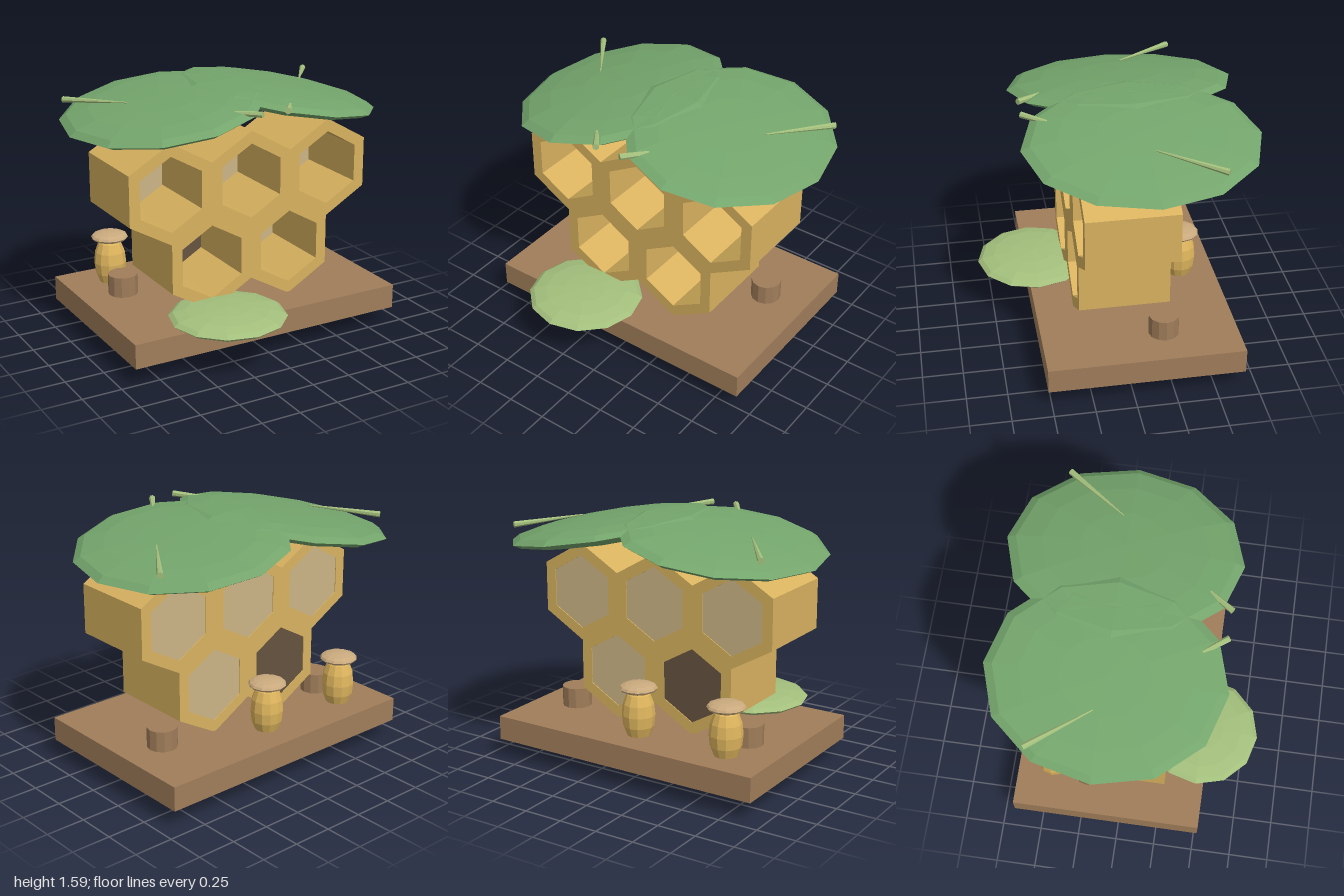
import * as THREE from 'three';

const mat = (color) => new THREE.MeshStandardMaterial({ color, flatShading: true });
const WOOD = mat(0xa07d5a), COMB = mat(0xd8b25f), WAX = mat(0xcbb586), DARK = mat(0x665340);
const LEAF = mat(0x74a56c), PALE = mat(0xa3bf7c), POT = mat(0xdfb65e), CAP = mat(0xcaaa7e);

const R = 0.315, INNER = 0.235, W = R * Math.sqrt(3) / 2, DEPTH = 0.56;
const TOP = 1.05, LOW = TOP - 1.5 * R;

export function createModel() {
  const model = new THREE.Group();
  const add = (name, geometry, material, x = 0, y = 0, z = 0) => {
    const mesh = new THREE.Mesh(geometry, material);
    mesh.name = name;
    mesh.position.set(x, y, z);
    model.add(mesh);
    return mesh;
  };
  // Flattened low-poly sphere, used for leaves, pots and lids
  const blob = (name, material, rx, ry, rz, x, y, z, sides = 12) =>
    add(name, new THREE.SphereGeometry(1, sides, 8).scale(rx, ry, rz), material, x, y, z);
  // Tapered stem from its thick end to its tip
  const stem = (name, from, to) => {
    const a = new THREE.Vector3(...from), b = new THREE.Vector3(...to);
    const dir = b.clone().sub(a);
    const mid = a.clone().add(b).multiplyScalar(0.5);
    const mesh = add(name, new THREE.CylinderGeometry(0.004, 0.02, dir.length(), 7), PALE, mid.x, mid.y, mid.z);
    mesh.quaternion.setFromUnitVectors(new THREE.Vector3(0, 1, 0), dir.normalize());
  };

  // Plank and its two pegs
  add('basePlank', new THREE.BoxGeometry(1.83, 0.155, 1.2), WOOD, 0, 0.1925, -0.08);
  for (const s of [-1, 1]) {
    add(s > 0 ? 'leftPeg' : 'rightPeg', new THREE.CylinderGeometry(0.094, 0.094, 0.4, 12), WOOD, s * 0.64, 0.2, -0.225);
  }

  // Honeycomb outline: zigzag top, stepped sides, zigzag bottom
  const outline = [];
  for (let i = -3; i <= 3; i++) outline.push(new THREE.Vector2(i * W, TOP + (i % 2 ? R / 2 : R)));
  outline.push(new THREE.Vector2(3 * W, TOP - R / 2), new THREE.Vector2(2 * W, TOP - R));
  for (let i = 2; i >= -2; i--) outline.push(new THREE.Vector2(i * W, LOW - (i % 2 ? R : R / 2)));
  outline.push(new THREE.Vector2(-2 * W, TOP - R), new THREE.Vector2(-3 * W, TOP - R / 2));
  const comb = new THREE.Shape(outline);

  // Hexagonal cells, each closed by a plate at the back
  const cells = [[-2 * W, TOP], [0, TOP], [2 * W, TOP], [-W, LOW], [W, LOW]];
  cells.forEach(([x, y], i) => {
    const hole = [];
    for (let k = 0; k < 6; k++) {
      const a = Math.PI / 6 + k * Math.PI / 3;
      hole.push(new THREE.Vector2(x + INNER * Math.cos(a), y + INNER * Math.sin(a)));
    }
    comb.holes.push(new THREE.Path(hole));
    const plate = new THREE.CylinderGeometry(INNER, INNER, 0.03, 6).rotateX(Math.PI / 2);
    add('cellBack', plate, i === 3 ? DARK : WAX, x, y, -DEPTH / 2 + 0.02);
  });
  add('honeycomb', new THREE.ExtrudeGeometry(comb, { depth: DEPTH, bevelEnabled: false }), COMB, 0, 0, -DEPTH / 2);

  // Roof of two drooping leaves, each with two stems
  for (const s of [-1, 1]) {
    const side = s > 0 ? 'left' : 'right';
    blob(side + 'RoofLeaf', LEAF, 0.61, 0.074, 0.71, s * 0.4, 1.465, -0.125).rotation.z = -s * 0.165;
    stem(side + 'SideStem', [s * 0.87, 1.487, -0.525], [s * 0.61, 1.515, -0.165]);
    stem(side + 'FrontStem', [s * 0.085, 1.537, 0.545], [s * 0.34, 1.51, 0.19]);
  }

  // Doorstep leaf
  blob('doorstepLeaf', PALE, 0.362, 0.055, 0.36, -0.273, 0.3, 0.47);

  // Lidded honey pots behind the comb
  for (const x of [-0.62, 0]) {
    blob('honeyPot', POT, 0.103, 0.185, 0.103, x, 0.4, -0.455, 12);
    blob('potLid', CAP, 0.118, 0.034, 0.118, x, 0.57, -0.455, 12);
  }
  return model;
}
